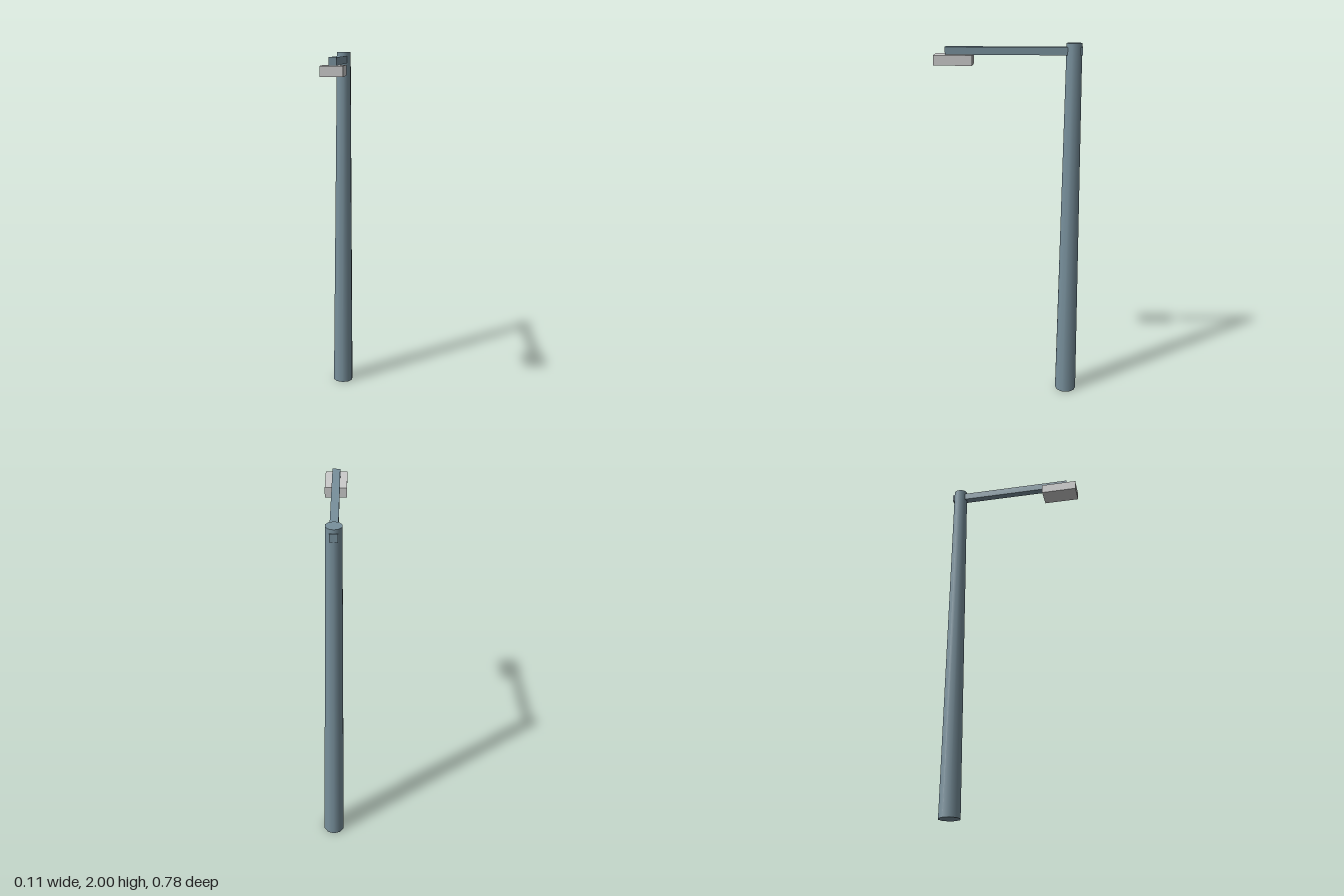
import * as THREE from 'three';

export function createModel() {
  const group = new THREE.Group();
  const steel = new THREE.MeshStandardMaterial({ color: 0x78909c });
  const grey = new THREE.MeshStandardMaterial({ color: 0xcccccc });

  const add = (name, geometry, material, y, z) => {
    const mesh = new THREE.Mesh(geometry, material);
    mesh.name = name;
    mesh.position.set(0, y, z);
    group.add(mesh);
  };

  // Tapered ten-sided pole
  add('pole', new THREE.CylinderGeometry(0.04, 0.06, 2, 10), steel, 1, -0.331);
  // Arm passing through the pole top and reaching forward
  add('arm', new THREE.BoxGeometry(0.04, 0.04, 0.708), steel, 1.96, -0.021);
  // Lamp box hung beneath the arm's end
  add('lampHead', new THREE.BoxGeometry(0.112, 0.052, 0.2), grey, 1.915, 0.29);

  return group;
}
